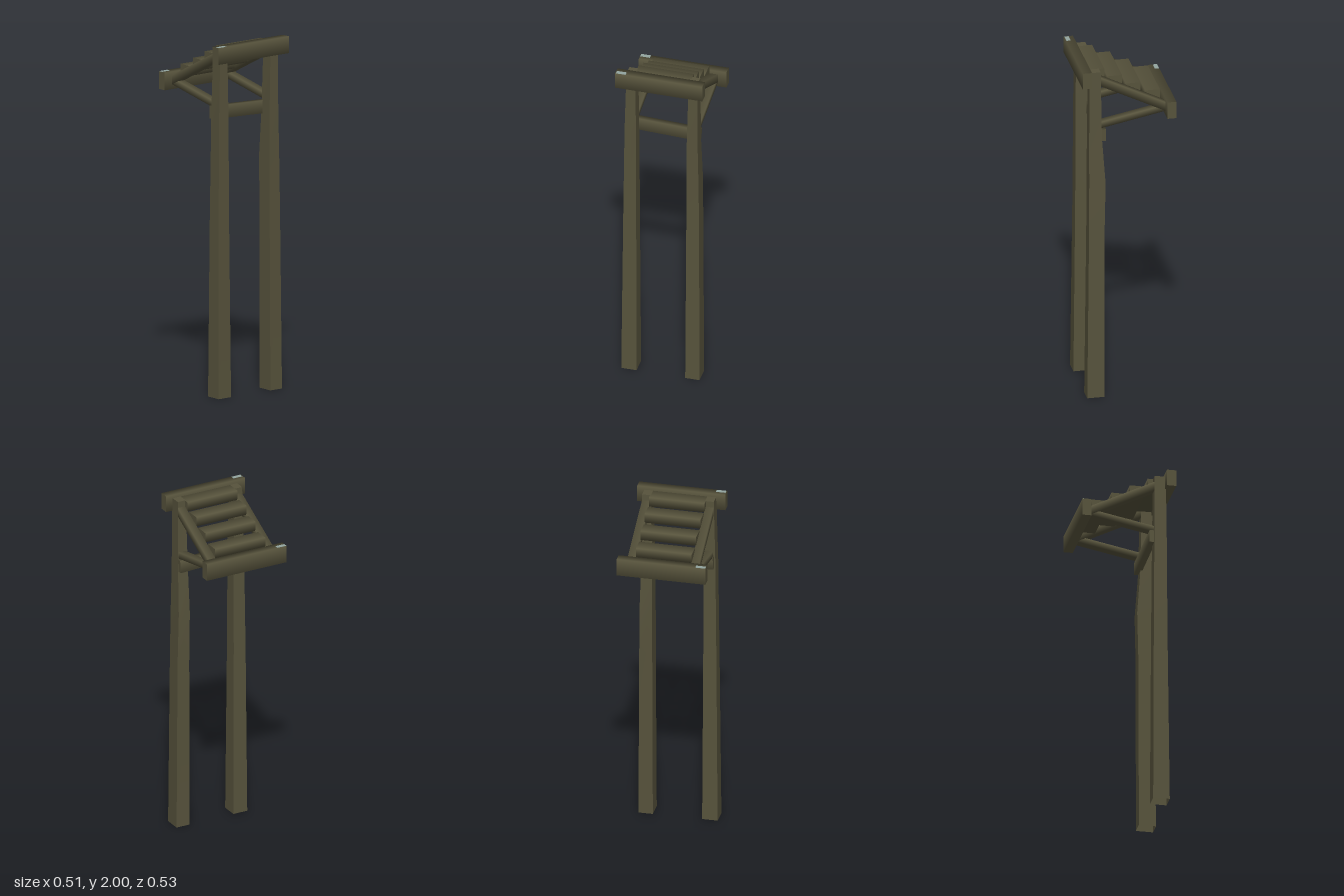
import * as THREE from 'three';
import { toCreasedNormals } from 'three/addons/utils/BufferGeometryUtils.js';

export function createModel() {
  const model = new THREE.Group();
  model.name = 'woodenFrame';

  const wood = new THREE.MeshStandardMaterial({ color: 0x57533c, side: THREE.DoubleSide });
  wood.name = 'weatheredWood';
  const pale = new THREE.MeshStandardMaterial({ color: 0x93a5a0 });
  pale.name = 'paleEndPatch';

  // Unit square bar along y, softly shaded around its length, with crisp ends
  const unitBar = new THREE.CylinderGeometry(Math.SQRT1_2, Math.SQRT1_2, 1, 4, 1, false, Math.PI / 4);

  // Horizontal bar along x from its extents
  function crossBar(name, x0, x1, y0, y1, z0, z1, tilt = 0) {
    const bar = new THREE.Mesh(unitBar, wood);
    bar.name = name;
    bar.scale.set(y1 - y0, x1 - x0, z1 - z0);
    bar.rotation.z = Math.PI / 2 + tilt;
    bar.position.set((x0 + x1) / 2, (y0 + y1) / 2, (z0 + z1) / 2);
    model.add(bar);
  }

  // Sloping bar between two [y, z] points
  function slopeBar(name, x, [ya, za], [yb, zb], width, depth) {
    const bar = new THREE.Mesh(unitBar, wood);
    bar.name = name;
    bar.scale.set(width, Math.hypot(yb - ya, zb - za), depth);
    bar.rotation.x = Math.atan2(zb - za, yb - ya);
    bar.position.set(x, (ya + yb) / 2, (za + zb) / 2);
    model.add(bar);
  }

  // Hewn post, open underneath; each station is [y, x0, x1, z0, z1]
  function post(name, stations) {
    const n = stations.length - 1;
    const g = new THREE.CylinderGeometry(Math.SQRT1_2, Math.SQRT1_2, 1, 4, n, false, Math.PI / 4);
    g.setIndex(Array.from(g.index.array).slice(0, -12));
    g.clearGroups();
    const p = g.attributes.position;
    for (let i = 0; i < p.count; i++) {
      const [y, x0, x1, z0, z1] = stations[Math.round((p.getY(i) + 0.5) * n)];
      p.setXYZ(i,
        THREE.MathUtils.lerp(x0, x1, p.getX(i) + 0.5),
        y,
        THREE.MathUtils.lerp(z0, z1, p.getZ(i) + 0.5));
    }
    g.computeVertexNormals();
    const mesh = new THREE.Mesh(toCreasedNormals(g, Math.PI / 6), wood);
    mesh.name = name;
    model.add(mesh);
  }

  post('rightPost', [
    [0, -0.228, -0.14, 0.14, 0.234],
    [1.0, -0.22, -0.145, 0.145, 0.223],
    [1.6, -0.213, -0.147, 0.15, 0.22],
    [1.98, -0.203, -0.153, 0.154, 0.217],
  ]);
  post('leftPost', [
    [0, 0.14, 0.222, 0.137, 0.234],
    [1.0, 0.143, 0.217, 0.135, 0.223],
    [1.3, 0.143, 0.213, 0.128, 0.221],
    [1.58, 0.145, 0.207, 0.148, 0.22],
    [1.98, 0.155, 0.205, 0.154, 0.217],
  ]);

  // Front and back beams, and the tie between the posts
  crossBar('frontBeam', -0.255, 0.247, 1.905, 2.0, 0.212, 0.265);
  crossBar('backBeam', -0.252, 0.253, 1.68, 1.78, -0.265, -0.214);
  crossBar('tieBeam', -0.205, 0.205, 1.565, 1.638, 0.124, 0.158, -0.04);

  // Rafters and the braces under them
  for (const [side, x] of [['right', -0.178], ['left', 0.182]]) {
    slopeBar(side + 'Rafter', x, [1.945, 0.205], [1.725, -0.23], 0.046, 0.046);
    slopeBar(side + 'Brace', x, [1.65, 0.18], [1.728, -0.225], 0.044, 0.036);
  }

  // Stepped slats
  const slats = [[1.98, 0.124, 0.21], [1.93, 0.023, 0.107], [1.875, -0.082, 0.002], [1.822, -0.192, -0.108]];
  for (const [top, z0, z1] of slats) {
    crossBar('slat', -0.158, 0.16, top - 0.055, top, z0, z1);
  }

  // Pale patches on the beam ends
  for (const [y, z] of [[2.0, 0.25], [1.78, -0.252]]) {
    const patch = new THREE.Mesh(new THREE.BoxGeometry(0.056, 0.002, 0.024), pale);
    patch.name = 'beamEndPatch';
    patch.position.set(-0.223, y, z);
    model.add(patch);
  }

  return model;
}
